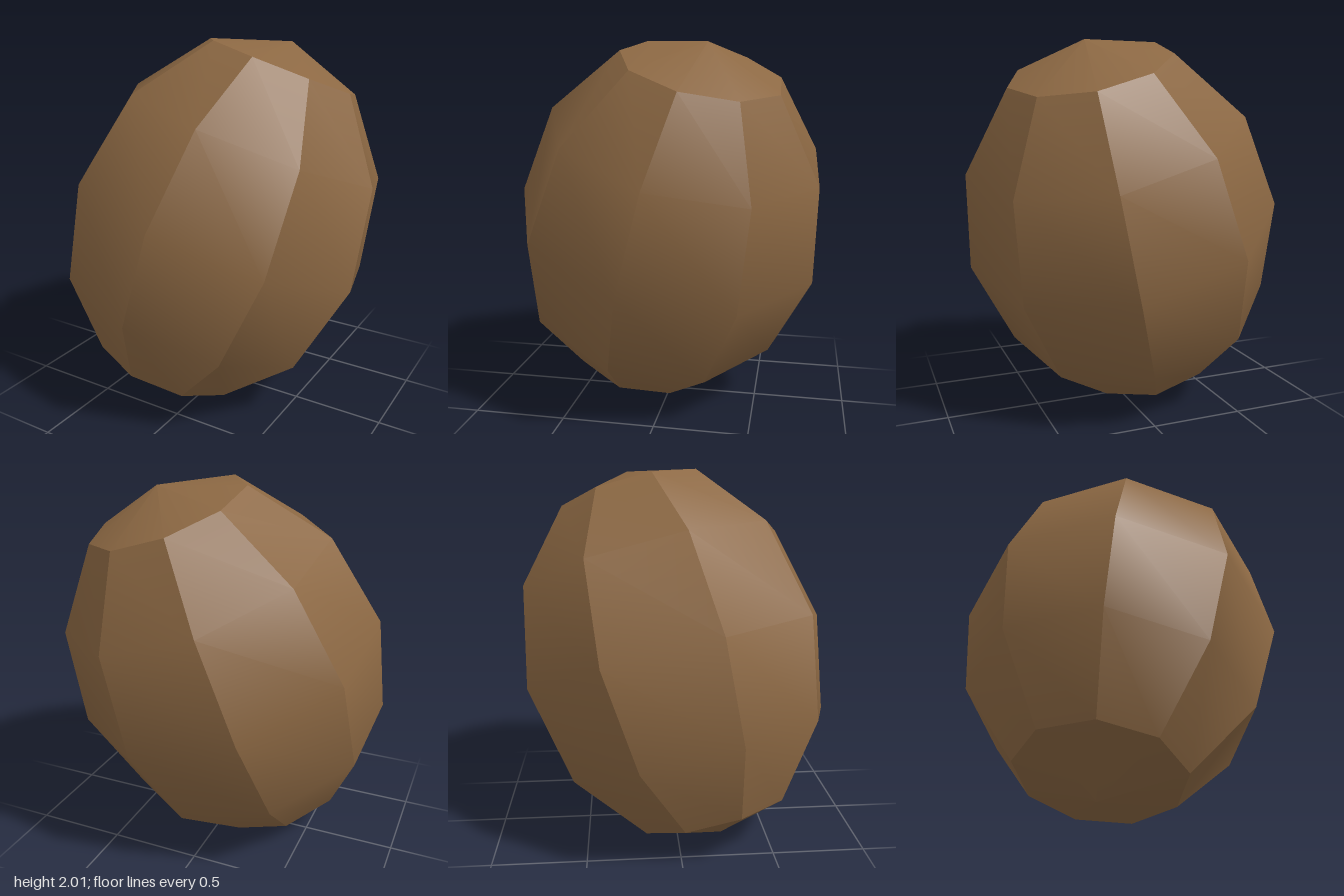
import * as THREE from 'three';
import { toCreasedNormals } from 'three/addons/utils/BufferGeometryUtils.js';

export function createModel() {
  const group = new THREE.Group();
  group.name = 'tiltedHusk';

  const brown = new THREE.MeshStandardMaterial({ color: 0x8c6843 });
  brown.name = 'husk brown';

  // Nine-sided elongated ball
  const radius = 0.865, halfLength = 1.055;
  const husk = new THREE.SphereGeometry(1, 9, 6);
  husk.scale(radius, halfLength, radius);

  // Lean the long axis and turn one ridge towards the front
  const axis = new THREE.Vector3(0.2735, 0.934, -0.23).normalize();
  const ridge = new THREE.Vector3(0.093, 0.2, 0.977);
  ridge.addScaledVector(axis, -ridge.dot(axis)).normalize();
  const xDir = ridge.clone().negate();
  const zDir = new THREE.Vector3().crossVectors(xDir, axis);
  husk.applyMatrix4(new THREE.Matrix4().makeBasis(xDir, axis, zDir));

  // Stand it on the ground
  husk.computeBoundingBox();
  husk.translate(0, -husk.boundingBox.min.y, 0);

  // Sharp ridges and cap rims, smooth along each segment
  const mesh = new THREE.Mesh(toCreasedNormals(husk, Math.PI / 6), brown);
  mesh.name = 'husk';
  group.add(mesh);
  return group;
}
